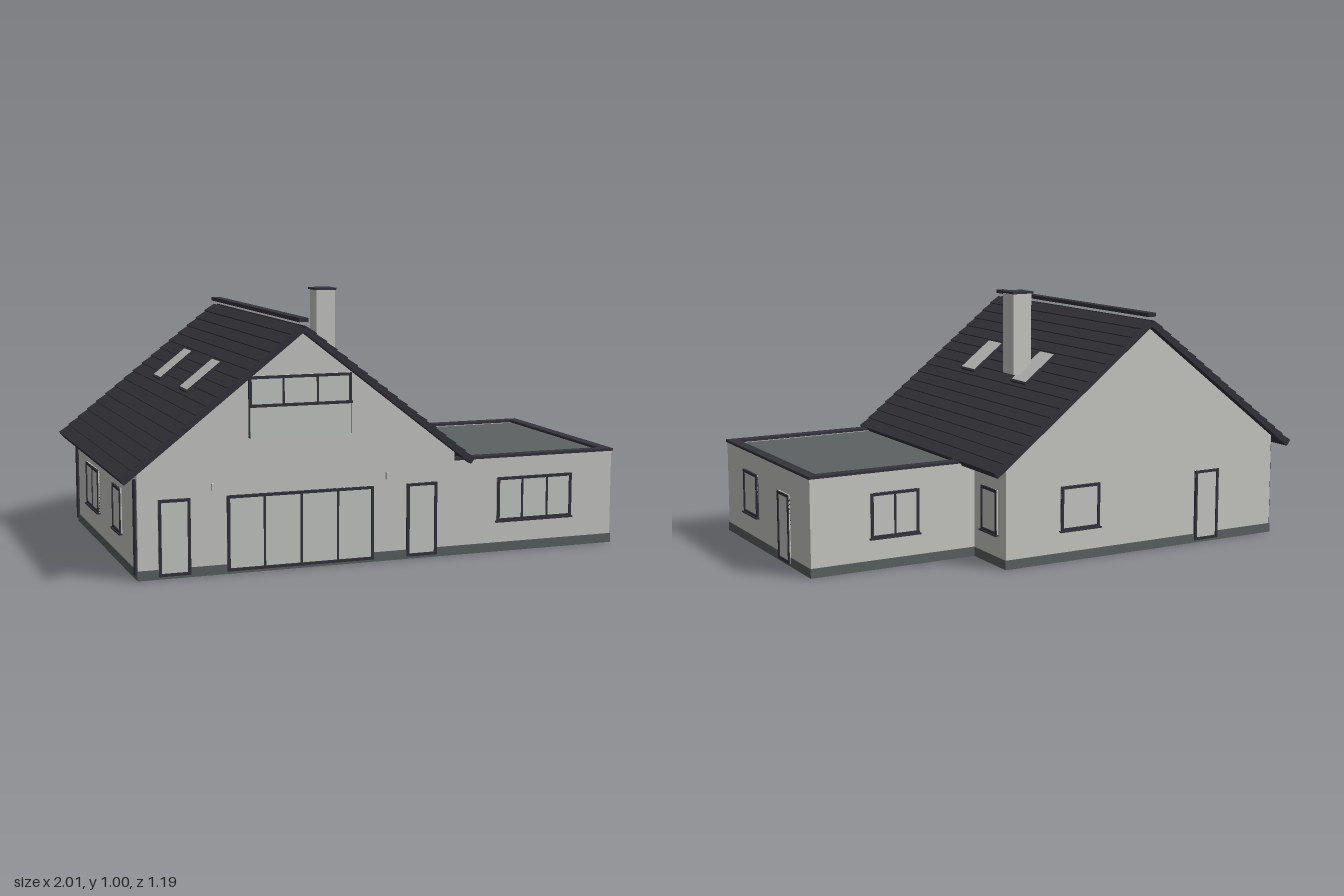
import * as THREE from 'three';

const material = (name, color) => {
  const m = new THREE.MeshStandardMaterial({ color });
  m.name = name;
  return m;
};

export function createModel() {
  const render = material('pale render', 0xcbcdc8);
  const glass = material('pale glass', 0xcaccc8);
  const dark = material('anthracite', 0x35343b);
  const grey = material('plinth grey', 0x5e6262);

  const house = new THREE.Group();
  house.name = 'house';

  const add = (parent, name, geometry, mat) => {
    const mesh = new THREE.Mesh(geometry, mat);
    mesh.name = name;
    parent.add(mesh);
    return mesh;
  };
  // Box given by its lower and upper limits
  const box = (parent, name, mat, x0, x1, y0, y1, z0, z1) => {
    const mesh = add(parent, name, new THREE.BoxGeometry(x1 - x0, y1 - y0, z1 - z0), mat);
    mesh.position.set((x0 + x1) / 2, (y0 + y1) / 2, (z0 + z1) / 2);
    return mesh;
  };

  const T = 0.012;                       // wall thickness
  const L = -0.93, R = 0.31, D = 0.557;  // main house: left, right, half depth
  const E = 0.99, B = -0.31;             // extension: right side, back
  const RIDGE = -0.31, SLOPE = 0.777, ANGLE = Math.atan(SLOPE);
  const EAVE = 0.885 - SLOPE * (R - RIDGE);

  // Gable walls
  const gable = new THREE.Shape([
    new THREE.Vector2(L, 0), new THREE.Vector2(R, 0), new THREE.Vector2(R, EAVE),
    new THREE.Vector2(RIDGE, 0.885), new THREE.Vector2(L, EAVE),
  ]);
  for (const [name, z] of [['frontGable', D - T], ['backGable', -D]]) {
    add(house, name, new THREE.ExtrudeGeometry(gable, { depth: T, bevelEnabled: false }), render).position.z = z;
  }

  // Straight walls, each with a plinth wrapped round its foot
  const wall = (name, x0, x1, z0, z1) =>
    box(house, name, render, x0, x1, 0.002, name.startsWith('extension') ? 0.372 : EAVE, z0, z1);
  const plinth = (x0, x1, z0, z1) =>
    box(house, 'plinth', grey, x0 - 0.003, x1 + 0.003, 0, 0.036, z0 - 0.003, z1 + 0.003);
  wall('leftWall', L, L + T, -D + T, D - T);
  wall('rightWall', R - T, R, -D + T, D - T);
  wall('extensionFrontWall', R, E, D - T, D);
  wall('extensionBackWall', R, E, B, B + T);
  wall('extensionRightWall', E - T, E, B + T, D - T);
  plinth(L, E, D - T, D);
  plinth(L, R, -D, -D + T);
  plinth(L, L + T, -D, D);
  plinth(R - T, R, -D, D);
  plinth(R, E, B, B + T);
  plinth(E - T, E, B, D);

  // Flat roof of the extension with its fascia and dark coping
  box(house, 'flatRoof', grey, R, E - 0.01, 0.355, 0.366, B + 0.01, D - 0.01);
  const rim = (name, mat, y0, y1, out, inn) => {
    box(house, name, mat, R, E + out, y0, y1, D - inn, D + out);
    box(house, name, mat, R, E + out, y0, y1, B - out, B + inn);
    box(house, name, mat, E - inn, E + out, y0, y1, B + inn, D - inn);
  };
  rim('fascia', render, 0.358, 0.37, 0.002, 0.03);
  rim('coping', dark, 0.37, 0.38, 0.005, 0.038);

  // Pitched roof: two slabs with lapped rows of tiles and skylights
  const LENGTH = 0.873, START = 0.012, ROWS = 17, STEP = (LENGTH - START) / ROWS;
  for (const s of [-1, 1]) {
    const side = new THREE.Group();
    side.name = s < 0 ? 'leftRoof' : 'rightRoof';
    side.position.set(RIDGE, 0.915, 0);
    side.rotation.z = -s * ANGLE;
    house.add(side);
    const slab = add(side, 'roofSlab', new THREE.BoxGeometry(LENGTH - START, 0.02, 1.186), dark);
    slab.position.set(s * (LENGTH + START) / 2, -0.015, 0);
    for (let i = 0; i < ROWS; i++) {
      const row = add(side, 'tileRow', new THREE.BoxGeometry(STEP, 0.01, 1.186), dark);
      row.position.set(s * (START + (i + 0.5) * STEP), -0.004, 0);
      row.rotation.z = s * 0.1;
    }
    for (const z of [0.226, -0.196]) {
      const d = 0.288 / Math.cos(ANGLE);
      const frame = add(side, 'skylightFrame', new THREE.BoxGeometry(0.176, 0.016, 0.114), dark);
      frame.position.set(s * d, 0.004, z);
      const pane = add(side, 'skylightPane', new THREE.BoxGeometry(0.164, 0.004, 0.106), glass);
      pane.position.set(s * (d - 0.002), 0.012, z);
    }
  }
  box(house, 'ridgeCap', dark, RIDGE - 0.018, RIDGE + 0.018, 0.921, 0.936, -0.593, 0.593);

  // Chimney
  box(house, 'chimney', render, -0.025, 0.055, 0.67, 0.992, -0.167, -0.083);
  box(house, 'chimneyCap', dark, -0.032, 0.06, 0.99, 0.998, -0.173, -0.078);

  // Windows and doors: a..b runs along the wall, plane is the wall's outer face
  const turn = { front: 0, back: Math.PI, right: Math.PI / 2, left: -Math.PI / 2 };
  const opening = (name, side, plane, a, b, y0, y1, panes = 1, sill = false) => {
    const g = new THREE.Group();
    g.name = name;
    const c = (a + b) / 2, w = Math.abs(b - a) / 2, f = 0.011;
    if (side === 'front' || side === 'back') g.position.set(c, 0, plane);
    else g.position.set(plane, 0, c);
    g.rotation.y = turn[side];
    house.add(g);
    box(g, 'pane', glass, -w, w, y0, y1, 0, 0.005);
    box(g, 'innerPane', grey, -w, w, y0, y1, -T - 0.005, -T);
    box(g, 'frameTop', dark, -w, w, y1 - f, y1, 0, 0.009);
    box(g, 'frameBottom', dark, -w, w, y0, y0 + f, 0, 0.009);
    for (const s of [-1, 1]) {
      box(g, 'frameSide', dark, s * (w - f / 2) - f / 2, s * (w - f / 2) + f / 2, y0 + f, y1 - f, 0, 0.009);
    }
    for (let i = 1; i < panes; i++) {
      const u = -w + (2 * w * i) / panes;
      box(g, 'mullion', dark, u - 0.004, u + 0.004, y0 + f, y1 - f, 0, 0.008);
    }
    if (sill) box(g, 'sill', dark, -w - 0.005, w + 0.005, y0 - 0.004, y0 + 0.002, 0, 0.014);
  };
  opening('frontSideDoor', 'front', D, -0.855, -0.735, 0.01, 0.293);
  opening('terraceDoors', 'front', D, -0.597, -0.023, 0.01, 0.293, 4);
  opening('frontDoor', 'front', D, 0.112, 0.236, 0.01, 0.293);
  opening('extensionFrontWindow', 'front', D, 0.49, 0.812, 0.12, 0.293, 3, true);
  opening('gableWindow', 'front', D, -0.512, -0.113, 0.5, 0.727, 3);
  opening('extensionSideWindow', 'right', E, 0.36, 0.213, 0.12, 0.293, 1, true);
  opening('extensionSideDoor', 'right', E, -0.005, -0.116, 0.01, 0.275);
  opening('rightWindow', 'right', R, -0.374, -0.495, 0.12, 0.293, 1, true);
  opening('extensionBackWindow', 'back', B, 0.55, 0.75, 0.12, 0.293, 2, true);
  opening('backWindow', 'back', -D, -0.1, 0.073, 0.12, 0.293, 1, true);
  opening('backDoor', 'back', -D, -0.663, -0.55, 0.01, 0.293);
  opening('leftBackWindow', 'left', L, -0.345, -0.11, 0.12, 0.293, 2, true);
  opening('leftFrontWindow', 'left', L, 0.16, 0.3, 0.12, 0.293, 1, true);

  // Balustrade in front of the gable window
  box(house, 'balustradePanel', glass, -0.508, -0.117, 0.497, 0.615, D + 0.008, D + 0.014);
  box(house, 'balustradeRail', dark, -0.512, -0.113, 0.613, 0.623, D, D + 0.018);

  // Wall lamps
  for (const x of [-0.65, 0.032]) {
    box(house, 'wallLamp', render, x - 0.005, x + 0.005, 0.315, 0.342, D, D + 0.013);
  }

  // Downpipes on the left wall
  for (const z of [-0.54, 0.54]) {
    const pipe = add(house, 'downpipe', new THREE.CylinderGeometry(0.007, 0.007, 0.35, 10), dark);
    pipe.position.set(L - 0.006, 0.195, z);
  }

  return house;
}
